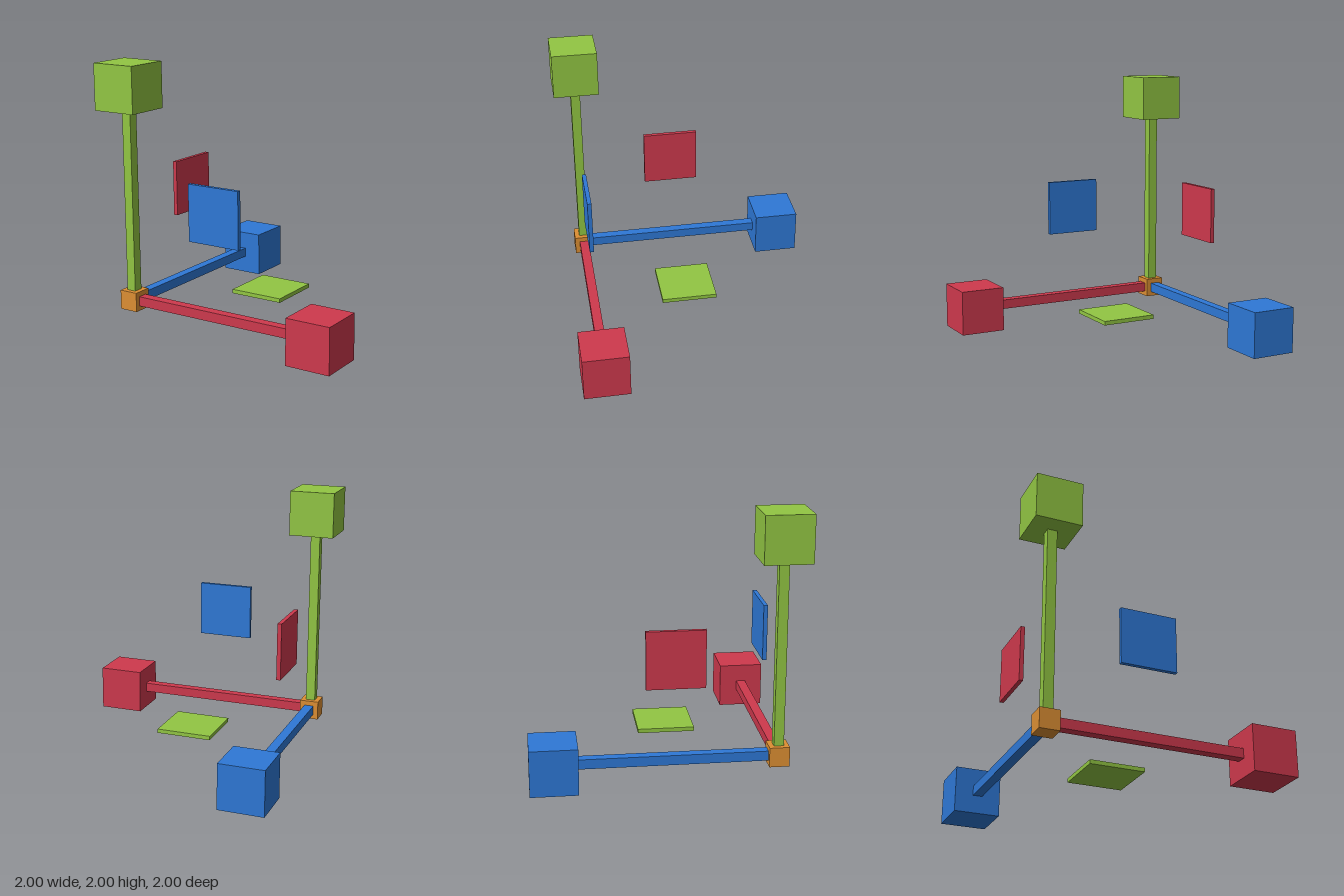
import * as THREE from 'three';

const CUBE = 0.352, ARM = 0.074, HUB = 0.15, PANEL = 0.435, THIN = 0.032;
const ORIGIN = new THREE.Vector3(-0.824, 0.176, 0.824);
const REACH = 1.648;        // origin to end cube centre
const PANEL_OFFSET = 0.758; // origin to panel centre along both panel axes

export function createModel() {
  const group = new THREE.Group();
  group.name = 'scaleGizmo';

  const addBox = (name, material, size, position) => {
    const mesh = new THREE.Mesh(new THREE.BoxGeometry(...size.toArray()), material);
    mesh.name = name;
    mesh.position.copy(ORIGIN).add(position);
    group.add(mesh);
  };

  // central hub
  addBox('centreHub', new THREE.MeshStandardMaterial({ color: 0xdd8f33 }),
    new THREE.Vector3(HUB, HUB, HUB), new THREE.Vector3());

  const axes = [
    { name: 'x', dir: new THREE.Vector3(1, 0, 0), color: 0xce394d },
    { name: 'y', dir: new THREE.Vector3(0, 1, 0), color: 0x92c643 },
    { name: 'z', dir: new THREE.Vector3(0, 0, -1), color: 0x2e78d6 },
  ];

  axes.forEach(({ name, dir, color }, i) => {
    const material = new THREE.MeshStandardMaterial({ color });
    const along = dir.clone().set(Math.abs(dir.x), Math.abs(dir.y), Math.abs(dir.z));

    // square arm from the hub to the end cube
    const start = HUB / 2 - 0.01, end = REACH - CUBE / 2 + 0.01;
    addBox(name + 'Arm', material,
      new THREE.Vector3(ARM, ARM, ARM).addScaledVector(along, end - start - ARM),
      dir.clone().multiplyScalar((start + end) / 2));

    // end cube
    addBox(name + 'EndCube', material,
      new THREE.Vector3(CUBE, CUBE, CUBE), dir.clone().multiplyScalar(REACH));

    // floating panel perpendicular to this axis
    const centre = axes[(i + 1) % 3].dir.clone().add(axes[(i + 2) % 3].dir);
    addBox(name + 'PlanePanel', material,
      new THREE.Vector3(PANEL, PANEL, PANEL).addScaledVector(along, THIN - PANEL),
      centre.multiplyScalar(PANEL_OFFSET));
  });

  return group;
}
